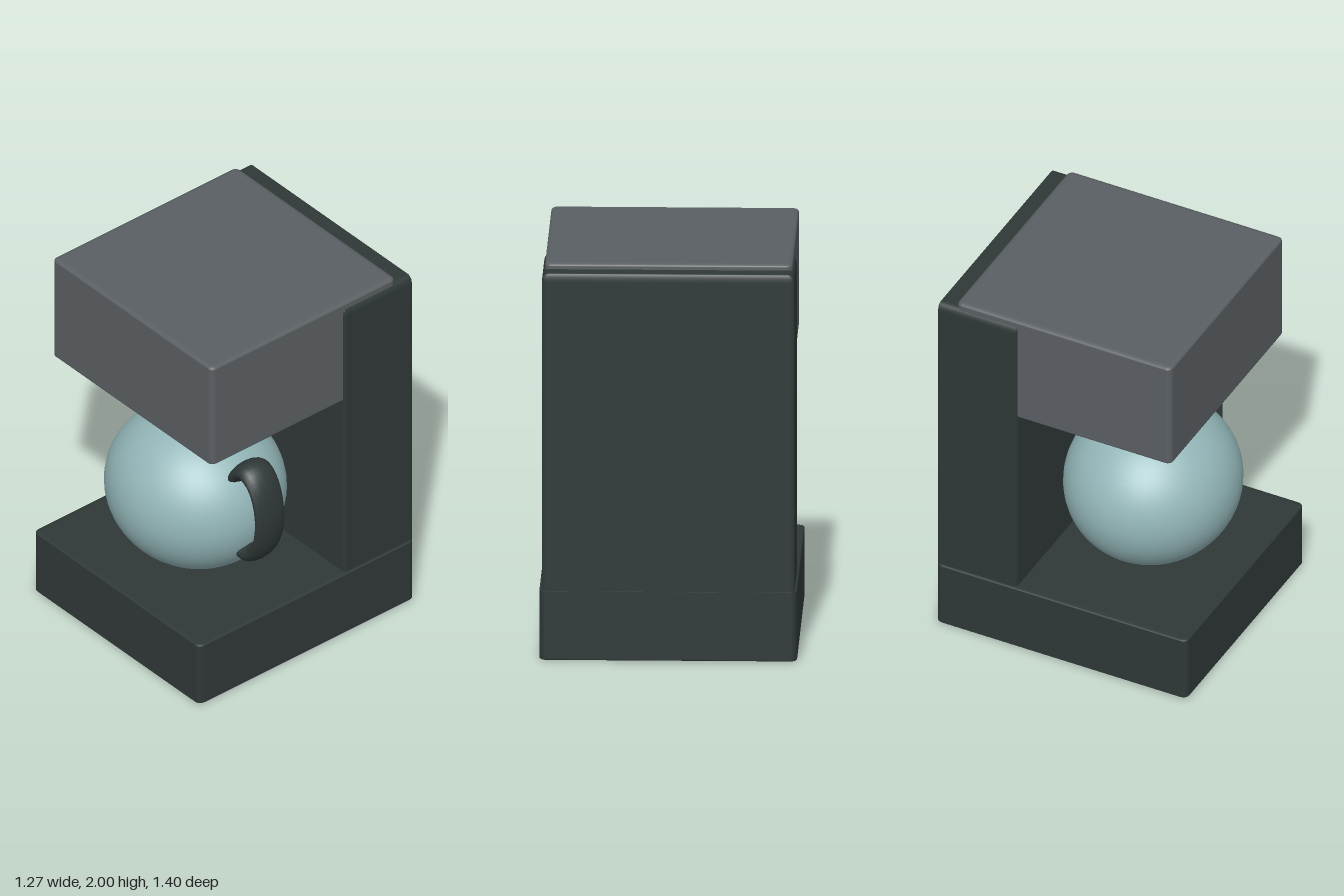
import * as THREE from 'three';
import { RoundedBoxGeometry } from 'three/addons/geometries/RoundedBoxGeometry.js';

const paint = (name, color) => {
  const material = new THREE.MeshStandardMaterial({ color });
  material.name = name;
  return material;
};

export function createModel() {
  const model = new THREE.Group();
  model.name = 'coffeeMachine';
  const darkBody = paint('dark green grey', 0x2f3837);
  const greyHead = paint('slate grey', 0x5a5f63);
  const paleBlue = paint('pale blue', 0x93b6b8);

  const add = (name, geometry, material, x, y, z) => {
    const mesh = new THREE.Mesh(geometry, material);
    mesh.name = name;
    mesh.position.set(x, y, z);
    model.add(mesh);
    return mesh;
  };

  // Softened block between two corners; the bevel stretches with the block
  const block = (name, material, [x0, y0, z0], [x1, y1, z1]) => {
    const geometry = new RoundedBoxGeometry(1, 1, 1, 3, 0.026);
    geometry.scale(x1 - x0, y1 - y0, z1 - z0);
    add(name, geometry, material, (x0 + x1) / 2, (y0 + y1) / 2, (z0 + z1) / 2);
  };

  // Housing: base tray, rear column and overhanging head
  block('base', darkBody, [-0.637, 0, -0.698], [0.637, 0.363, 0.698]);
  block('column', darkBody, [-0.625, 0.3, -0.697], [0.625, 1.97, -0.252]);
  block('head', greyHead, [-0.612, 1.4, -0.597], [0.612, 2, 0.597]);

  // Round pot, slightly flattened
  const pot = new THREE.SphereGeometry(1, 48, 32);
  pot.scale(0.47, 0.418, 0.44);
  add('pot', pot, paleBlue, 0, 0.775, 0.185);

  // Wide oval handle sunk into the pot's side
  const handle = new THREE.TorusGeometry(0.24, 0.052, 16, 48);
  handle.scale(0.52, 1, 1.79);
  add('handle', handle, darkBody, 0.443, 0.855, 0.185);

  return model;
}
